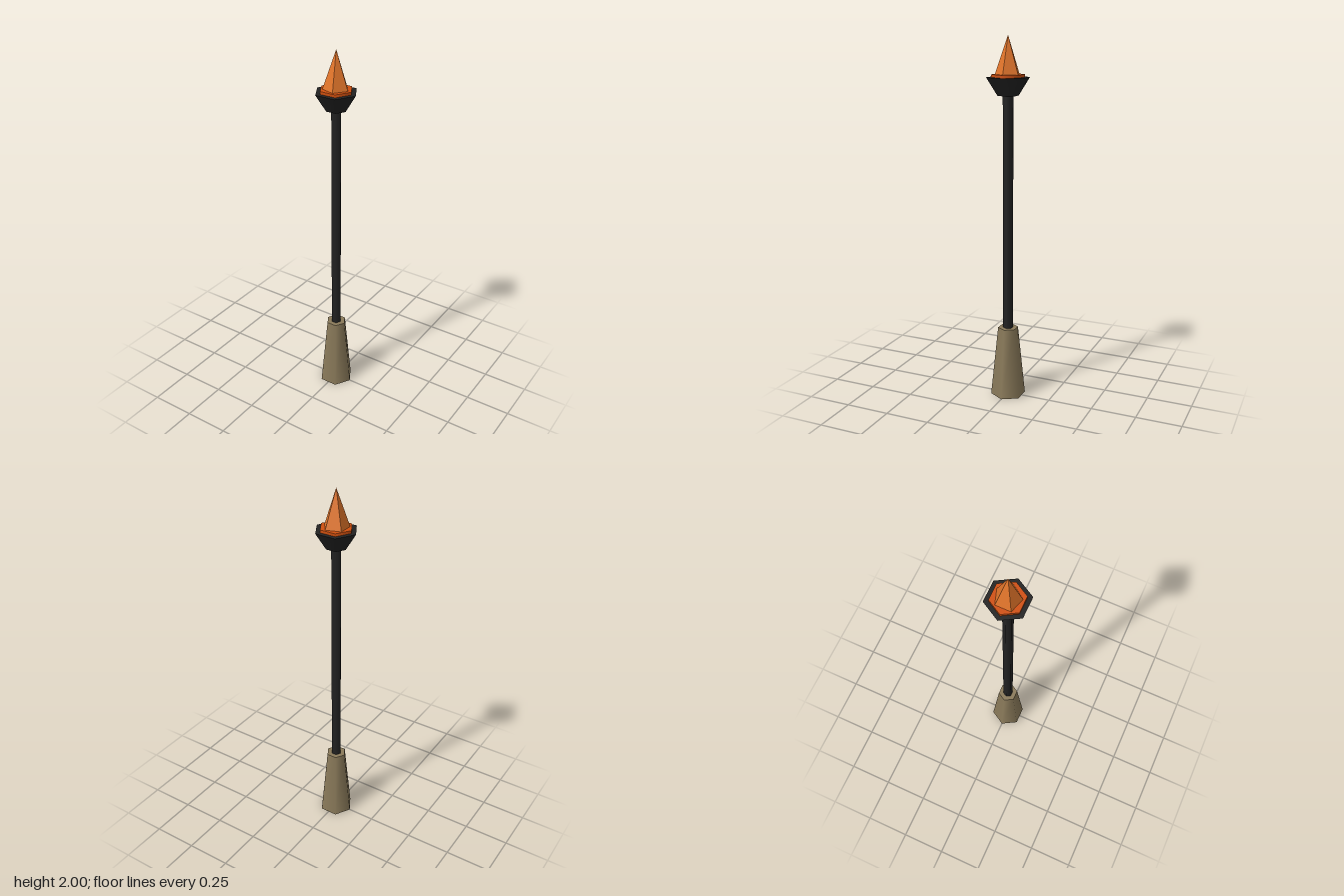
import * as THREE from 'three';

export function createModel() {
  const group = new THREE.Group();
  group.name = 'torchPost';

  const material = (name, color, flatShading = false) =>
    new THREE.MeshStandardMaterial({ name, color, flatShading });
  const wood = material('wood', 0x8a7a5a);
  const iron = material('dark iron', 0x222222);
  const ember = material('ember orange', 0xd0500f);
  const fire = material('flame orange', 0xe0742a, true);

  // Tapered prism between two heights, with one corner pointing to +x
  function prism(name, mat, y0, y1, bottomRadius, topRadius, sides = 6) {
    const geometry = new THREE.CylinderGeometry(
      topRadius, bottomRadius, y1 - y0, sides, 1, false, Math.PI / 2);
    const mesh = new THREE.Mesh(geometry, mat);
    mesh.name = name;
    mesh.position.y = (y0 + y1) / 2;
    group.add(mesh);
  }

  prism('base', wood, 0, 0.4, 0.097, 0.056);
  prism('pole', iron, 0.38, 1.7, 0.028, 0.028);
  prism('cup', iron, 1.69, 1.785, 0.056, 0.115);
  prism('embers', ember, 1.76, 1.8, 0.089, 0.089);
  // Five-sided pointed flame
  prism('flame', fire, 1.795, 2, 0.071, 0, 5);

  return group;
}
